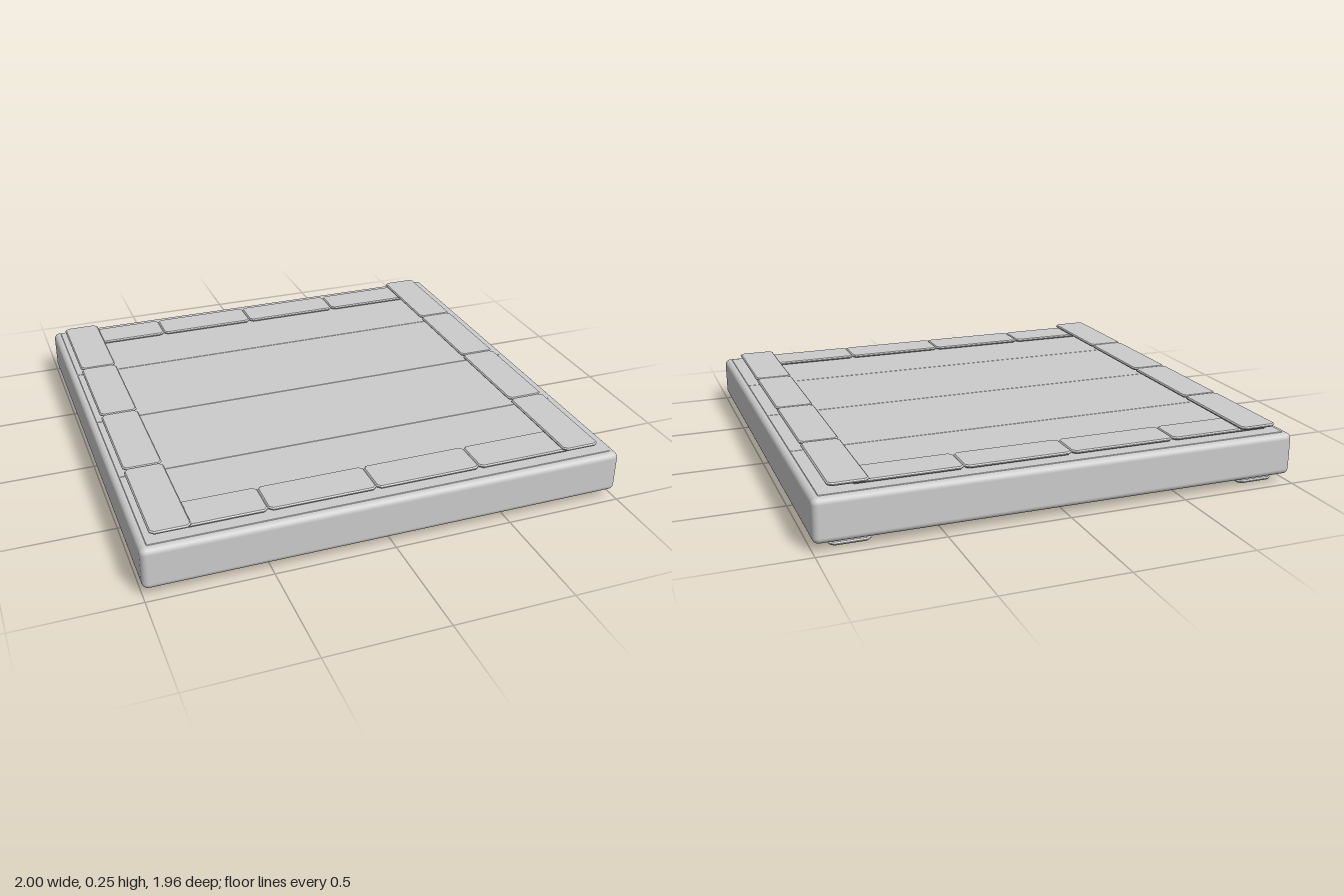
import * as THREE from 'three';
import { RoundedBoxGeometry } from 'three/addons/geometries/RoundedBoxGeometry.js';

const MID = 0.1225; // height of the slab's middle plane
const material = new THREE.MeshStandardMaterial({ color: 0xcccccc });

// Thin plate with clipped corners and bevelled rims, lying on y = 0..thickness
function plate(width, depth, thickness, clip, bevel) {
  const a = width / 2 - bevel, b = depth / 2 - bevel;
  const shape = new THREE.Shape([
    [-a + clip, -b], [a - clip, -b], [a, -b + clip], [a, b - clip],
    [a - clip, b], [-a + clip, b], [-a, b - clip], [-a, -b + clip],
  ].map(([x, y]) => new THREE.Vector2(x, y)));
  const geometry = new THREE.ExtrudeGeometry(shape, {
    depth: thickness - 2 * bevel, bevelEnabled: true,
    bevelSize: bevel, bevelThickness: bevel, bevelSegments: 1,
  });
  return geometry.translate(0, 0, bevel).rotateX(-Math.PI / 2);
}

// Strip of four plates; their clipped corners meet in small V notches
function strip(name, x0, x1, z0, z1, y, alongX) {
  const group = new THREE.Group();
  group.name = name;
  const count = 4;
  const width = (x1 - x0) / (alongX ? count : 1);
  const depth = (z1 - z0) / (alongX ? 1 : count);
  const geometry = plate(width, depth, 0.013, 0.013, 0.005);
  for (let i = 0; i < count; i++) {
    const mesh = new THREE.Mesh(geometry, material);
    mesh.name = name + 'Segment';
    mesh.position.set(
      x0 + width * (alongX ? i + 0.5 : 0.5), y,
      z0 + depth * (alongX ? 0.5 : i + 0.5));
    group.add(mesh);
  }
  return group;
}

// Everything lying on one broad face, measured up from the middle plane
function faceTrim(name) {
  const group = new THREE.Group();
  group.name = name;

  // Four boards with fine seams between them
  const seams = [-0.95, -0.47, 0, 0.465, 0.95];
  for (let i = 0; i < 4; i++) {
    const board = new THREE.Mesh(
      plate(1.94, seams[i + 1] - seams[i], 0.008, 0.001, 0.002), material);
    board.name = 'board';
    board.position.set(0, 0.083, (seams[i] + seams[i + 1]) / 2);
    group.add(board);
  }

  // Lower cross strips, then the upper side strips lapping over their ends
  group.add(
    strip('backStrip', -0.93, 0.84, -0.905, -0.75, 0.096, true),
    strip('frontStrip', -0.93, 0.84, 0.74, 0.905, 0.096, true),
    strip('rightStrip', -0.95, -0.79, -0.93, 0.925, 0.1095, false),
    strip('leftStrip', 0.77, 0.93, -0.93, 0.925, 0.1095, false));
  return group;
}

export function createModel() {
  const model = new THREE.Group();
  model.name = 'panel';

  // Slab with softly rounded rim
  const slab = new THREE.Mesh(new RoundedBoxGeometry(2, 0.178, 1.96, 4, 0.025), material);
  slab.name = 'slab';
  slab.position.y = MID;
  model.add(slab);

  // Same trim above and, mirrored, below
  const top = faceTrim('topTrim');
  const bottom = faceTrim('bottomTrim');
  top.position.y = bottom.position.y = MID;
  bottom.scale.y = -1;
  model.add(top, bottom);
  return model;
}
